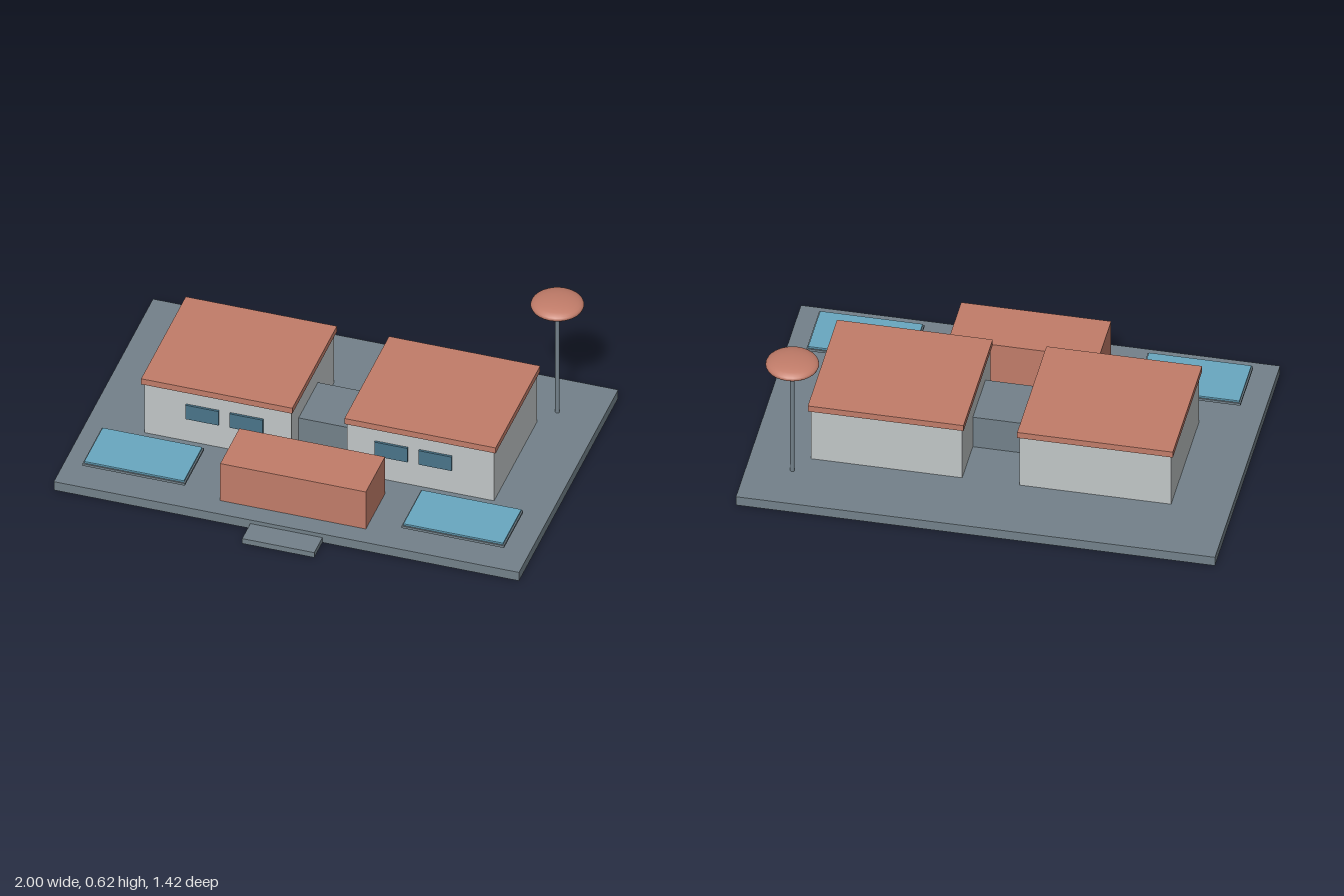
import * as THREE from 'three';

const mat = (name, color) => {
  const m = new THREE.MeshStandardMaterial({ color });
  m.name = name;
  return m;
};

export function createModel() {
  const model = new THREE.Group();
  model.name = 'buildingComplex';
  const slate = mat('slate', 0x73818a);
  const terracotta = mat('terracotta', 0xc17c69);
  const wall = mat('paleWall', 0xc1c6c7);
  const glass = mat('darkGlass', 0x49748a);
  const blue = mat('panelBlue', 0x69a7c0);

  const add = (name, geometry, material, x, y, z) => {
    const mesh = new THREE.Mesh(geometry, material);
    mesh.name = name;
    mesh.position.set(x, y, z);
    model.add(mesh);
    return mesh;
  };
  // Box given by its extents along each axis
  const box = (name, material, [x0, x1], [y0, y1], [z0, z1]) =>
    add(name, new THREE.BoxGeometry(x1 - x0, y1 - y0, z1 - z0), material,
      (x0 + x1) / 2, (y0 + y1) / 2, (z0 + z1) / 2);

  const floor = 0.043;

  // Ground slab and entrance step
  box('baseSlab', slate, [-1, 1], [0, floor], [-0.71, 0.6]);
  box('entranceStep', slate, [-0.155, 0.155], [0, 0.025], [0.6, 0.708]);

  // Central front block and the link between the two houses
  box('frontBlock', terracotta, [-0.313, 0.313], [floor, 0.232], [0.26, 0.512]);
  box('connector', slate, [-0.122, 0.122], [floor, 0.195], [-0.185, 0.07]);

  for (const s of [-1, 1]) {
    const side = s > 0 ? 'left' : 'right';
    const span = (a, b) => (s > 0 ? [a, b] : [-b, -a]);

    // House with overhanging flat roof
    box(side + 'House', wall, span(0.12, 0.752), [floor, 0.295], [-0.398, 0.167]);
    box(side + 'Roof', terracotta, span(0.112, 0.762), [0.295, 0.323], [-0.411, 0.178]);

    // Front windows
    for (const x of [0.24, 0.43]) {
      box(side + 'Window', glass, span(x, x + 0.142), [0.16, 0.231], [0.167, 0.1765]);
    }

    // Raised panel on two posts
    box(side + 'PanelFrame', slate, span(0.466, 0.906), [0.082, 0.093], [0.256, 0.51]);
    box(side + 'PanelSurface', blue, span(0.472, 0.9), [0.093, 0.101], [0.262, 0.504]);
    for (const x of [0.564, 0.812]) {
      add(side + 'PanelPost', new THREE.CylinderGeometry(0.006, 0.006, 0.04, 10),
        slate, s * x, 0.063, 0.385);
    }
  }

  // Mast topped by a flattened dome
  add('mast', new THREE.CylinderGeometry(0.009, 0.009, 0.537, 12), slate, 0.81, 0.3115, -0.49);
  add('mastDisc', new THREE.SphereGeometry(0.11, 28, 14), terracotta, 0.81, 0.592, -0.49)
    .scale.set(1, 0.29, 1);

  return model;
}
